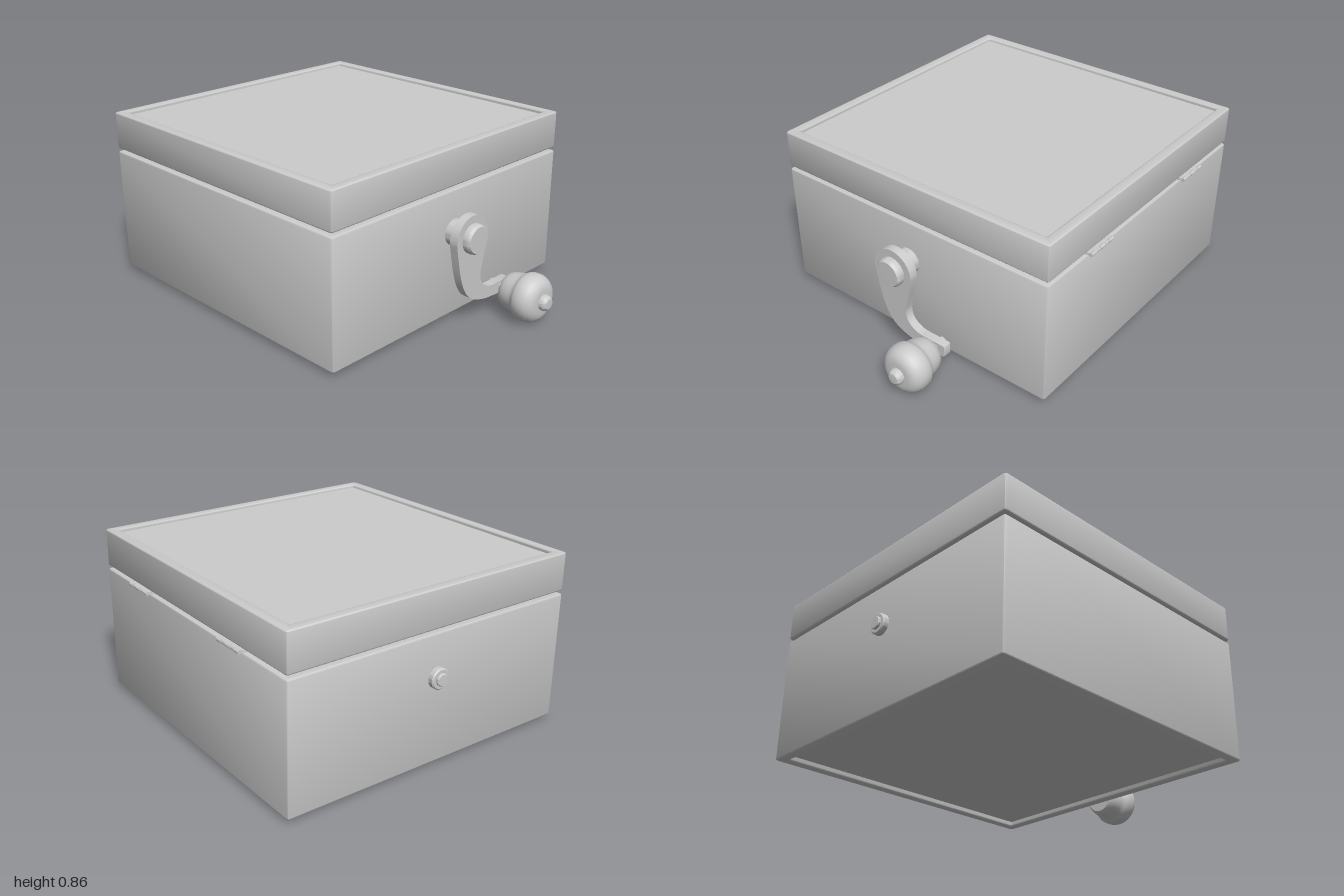
import * as THREE from 'three';
import { toCreasedNormals } from 'three/addons/utils/BufferGeometryUtils.js';

const CX = -0.175, CZ = 0.01, SIZE = 1.57, RIM = 0.05;
const AXLE_Y = 0.453, AXLE_Z = 0.013, KNOB_Y = 0.127, KNOB_Z = -0.227;

export function createModel() {
  const model = new THREE.Group();
  const grey = new THREE.MeshStandardMaterial({ color: 0xcccccc });

  function add(name, geometry, x = 0, y = 0, z = 0, parent = model) {
    const mesh = new THREE.Mesh(geometry, grey);
    mesh.name = name;
    mesh.position.set(x, y, z);
    parent.add(mesh);
    return mesh;
  }

  // Square with rounded corners, centred on the origin
  function roundedSquare(target, half, r) {
    target.moveTo(half, -half + r);
    for (let i = 0; i < 4; i++) {
      const a = i * Math.PI / 2;
      const c = half - r;
      const sx = i === 0 || i === 3 ? 1 : -1, sy = i < 2 ? 1 : -1;
      target.absarc(sx * c, sy * c, r, a, a + Math.PI / 2, false);
    }
    target.closePath();
    return target;
  }

  // Four-walled frame standing between two heights, with softened edges
  function frame(name, y0, y1) {
    const b = 0.007;
    const shape = roundedSquare(new THREE.Shape(), SIZE / 2 - b, 0.008);
    shape.holes.push(roundedSquare(new THREE.Path(), SIZE / 2 - RIM + b, 0.016));
    const geo = new THREE.ExtrudeGeometry(shape, {
      depth: y1 - y0 - 2 * b, bevelThickness: b, bevelSize: b, bevelSegments: 3, curveSegments: 4,
    });
    geo.translate(0, 0, b).rotateX(-Math.PI / 2);
    add(name, toCreasedNormals(geo, 0.7), CX, y0, CZ);
  }

  function panel(name, y0, y1) {
    const w = SIZE - 2 * RIM + 0.01;
    add(name, new THREE.BoxGeometry(w, y1 - y0, w), CX, (y0 + y1) / 2, CZ);
  }

  // Turned part lying along x; profile is a list of [radius, x]
  function turned(name, profile, y, z) {
    const points = profile.map(([r, x]) => new THREE.Vector2(r, x));
    const geo = new THREE.LatheGeometry(points, 48).rotateZ(-Math.PI / 2);
    return add(name, toCreasedNormals(geo, 0.6), 0, y, z);
  }

  // Body and lid, each with a panel set back inside its rim
  frame('bodyWalls', 0.03, 0.662);
  panel('bottomPanel', 0.055, 0.085);
  frame('lidWalls', 0.68, 0.867);
  panel('lidPanel', 0.82, 0.851);

  // Hinges: two thin leaves and a knuckled barrel
  for (const x of [-0.567, 0.235]) {
    const hinge = new THREE.Group();
    hinge.name = 'hinge';
    hinge.position.set(x, 0.671, 0);
    model.add(hinge);
    for (const s of [-1, 1]) {
      add('hingeLeaf', new THREE.BoxGeometry(0.172, 0.005, 0.075), 0, s * 0.004, -0.76, hinge);
    }
    for (let i = -2; i <= 2; i++) {
      const r = i % 2 ? 0.007 : 0.009;
      const knuckle = new THREE.CylinderGeometry(r, r, 0.033, 16).rotateZ(Math.PI / 2);
      add('hingeKnuckle', knuckle, i * 0.0345, 0, -0.793, hinge);
    }
  }

  // Axle through the box, with a stud on the right wall and a hub for the crank
  turned('axle', [[0, -0.97], [0.025, -0.97], [0.025, 0.7], [0, 0.7]], AXLE_Y, AXLE_Z);
  turned('axleStud', [
    [0, -1], [0.026, -1], [0.03, -0.996], [0.03, -0.988], [0.044, -0.988],
    [0.05, -0.982], [0.05, -0.955], [0, -0.955],
  ], AXLE_Y, AXLE_Z);
  turned('crankHub', [[0, 0.6], [0.065, 0.6], [0.065, 0.685], [0, 0.685]], AXLE_Y, AXLE_Z);
  turned('crankCap', [
    [0, 0.715], [0.073, 0.715], [0.073, 0.738], [0.071, 0.748], [0.064, 0.758], [0, 0.759],
  ], AXLE_Y, AXLE_Z);

  // Curved crank arm, drawn with -z to the right and y up
  const arm = new THREE.Shape();
  const u = -AXLE_Z;
  arm.absarc(u, AXLE_Y, 0.111, -0.2, Math.PI + 0.2, false);
  arm.bezierCurveTo(-0.105, 0.35, -0.09, 0.24, -0.045, 0.18);
  arm.bezierCurveTo(-0.01, 0.13, 0.05, 0.115, 0.11, 0.103);
  arm.lineTo(0.2, 0.096);
  arm.lineTo(0.28, 0.096);
  arm.quadraticCurveTo(0.287, 0.096, 0.287, 0.103);
  arm.lineTo(0.287, 0.15);
  arm.quadraticCurveTo(0.287, 0.157, 0.28, 0.157);
  arm.lineTo(0.16, 0.157);
  arm.quadraticCurveTo(0.13, 0.157, 0.11, 0.168);
  arm.bezierCurveTo(0.06, 0.19, 0.05, 0.235, 0.062, 0.28);
  arm.bezierCurveTo(0.075, 0.34, 0.088, 0.38, u + 0.111 * Math.cos(0.2), AXLE_Y - 0.111 * Math.sin(0.2));
  const armGeo = new THREE.ExtrudeGeometry(arm, { depth: 0.043, bevelEnabled: false, curveSegments: 24 });
  add('crankArm', toCreasedNormals(armGeo.rotateY(Math.PI / 2), 0.6), 0.677);

  // Handle: pin, turned knob and end button
  turned('handlePin', [[0, 0.66], [0.021, 0.66], [0.021, 0.77], [0, 0.77]], KNOB_Y, KNOB_Z);
  turned('knob', [
    [0, 0.758], [0.074, 0.758], [0.082, 0.764], [0.09, 0.785], [0.096, 0.81], [0.1, 0.835],
    [0.104, 0.85], [0.113, 0.859], [0.119, 0.872], [0.12, 0.895], [0.118, 0.915],
    [0.11, 0.935], [0.096, 0.952], [0.078, 0.962], [0.06, 0.965], [0, 0.965],
  ], KNOB_Y, KNOB_Z);
  turned('knobButton', [
    [0, 0.955], [0.039, 0.955], [0.039, 0.98], [0.035, 0.99], [0.026, 0.998], [0, 1],
  ], KNOB_Y, KNOB_Z);

  return model;
}
